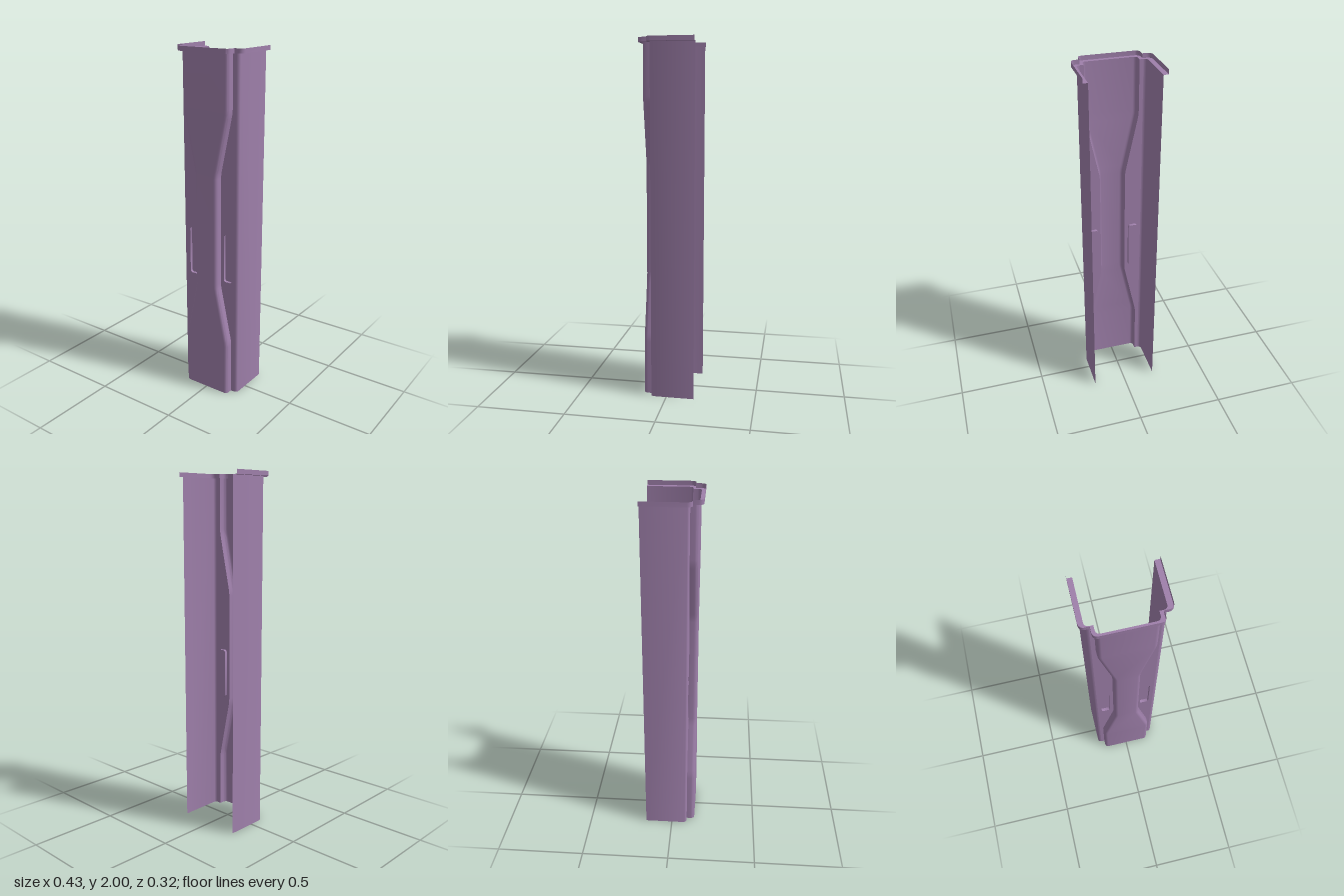
import * as THREE from 'three';
import { toCreasedNormals } from 'three/addons/utils/BufferGeometryUtils.js';

const material = new THREE.MeshStandardMaterial({ color: 0x9f80ab, side: THREE.DoubleSide });
const BACK = -0.158, LEDGE = 0.09, FRONT = 0.136, NECK = 1.975, TOP = 2;

// Surface through rows of [x, y, z] points, all rows equally long
function loft(rows) {
  const n = rows[0].length, index = [];
  for (let r = 0; r < rows.length - 1; r++) {
    for (let i = 0; i < n - 1; i++) {
      const a = r * n + i, b = a + 1, c = a + n, d = c + 1;
      index.push(a, b, d, a, d, c);
    }
  }
  const geo = new THREE.BufferGeometry();
  geo.setAttribute('position', new THREE.Float32BufferAttribute(rows.flat(2), 3));
  geo.setIndex(index);
  return toCreasedNormals(geo, 0.65);
}

function part(name, geo, parent) {
  const mesh = new THREE.Mesh(geo, material);
  mesh.name = name;
  parent.add(mesh);
  return mesh;
}

// Half of a section given from the outside in, completed by mirroring in x
const mirrored = half => [...half.map(([x, z]) => [-x, z]), ...half.slice().reverse()];
const atHeight = (section, y) => section.map(([x, z]) => [x, y, z]);

// Quarter-round corner from (x0, z0) to (x1, z1), leaving along z
function corner(x0, z0, x1, z1, steps = 4) {
  return Array.from({ length: steps + 1 }, (_, i) => {
    const t = (i / steps) * Math.PI / 2;
    return [x1 + (x0 - x1) * Math.cos(t), z0 + (z1 - z0) * Math.sin(t)];
  });
}

// Half-width of the raised rib over the height: wide ends, narrow waist
const lower = [[0, 0.147], [0.31, 0.147], [0.335, 0.145], [0.36, 0.14],
  [0.64, 0.08], [0.665, 0.075], [0.69, 0.073]];
const widths = [...lower, [1.31, 0.073], [1.335, 0.075], [1.36, 0.08],
  [1.64, 0.14], [1.665, 0.145], [1.69, 0.147], [NECK, 0.147]];

const ribHalf = w => [[w, LEDGE], ...corner(w, 0.115, w - 0.02, FRONT)];
const wallHalf = [[0.188, BACK], ...corner(0.188, 0.07, 0.168, LEDGE)];

// Rounded upright slot outline
function slotPoints(x0, x1, y0, y1, r) {
  const s = new THREE.Shape();
  s.absarc(x1 - r, y0 + r, r, -Math.PI / 2, 0);
  s.absarc(x1 - r, y1 - r, r, 0, Math.PI / 2);
  s.absarc(x0 + r, y1 - r, r, Math.PI / 2, Math.PI);
  s.absarc(x0 + r, y0 + r, r, Math.PI, Math.PI * 1.5);
  return s.getPoints(4);
}

function createSide() {
  const side = new THREE.Group();

  // Side wall with its rounded front corner
  part('sideWall', loft([0, NECK].map(y => atHeight(wallHalf, y))), side);

  // Ledge beside the rib, with the slot cut out
  const slot = slotPoints(0.093, 0.145, 0.702, 0.986, 0.013);
  const outline = [[0.168, 0], [0.168, NECK], ...widths.map(([y, w]) => [w, y]).reverse()];
  const shape = new THREE.Shape(outline.map(([x, y]) => new THREE.Vector2(x, y)));
  shape.holes.push(new THREE.Path(slot));
  part('ledge', new THREE.ShapeGeometry(shape).translate(0, 0, LEDGE), side);

  // Shallow pocket pressed back through the ledge
  const depth = 0.073, ring = [...slot, slot[0]];
  part('pocketWall', loft([LEDGE, depth].map(z => ring.map(p => [p.x, p.y, z]))), side);
  part('pocketFloor', new THREE.ShapeGeometry(new THREE.Shape(slot)).translate(0, 0, depth), side);
  return side;
}

export function createModel() {
  const model = new THREE.Group();
  model.name = 'channelPost';

  // Raised front rib
  part('frontRib', loft(widths.map(([y, w]) => atHeight(mirrored(ribHalf(w)), y))), model);

  // Both sides
  const left = createSide();
  left.name = 'leftSide';
  const right = createSide();
  right.name = 'rightSide';
  right.scale.x = -1;
  model.add(left, right);

  // Stepped collar at the top: out along a narrow shelf, then up
  const inner = mirrored([...wallHalf, ...ribHalf(0.147)]);
  const outer = mirrored([[0.215, BACK], ...corner(0.215, 0.077, 0.19, 0.104),
    [0.165, 0.104], ...corner(0.165, 0.133, 0.142, 0.158)]);
  part('topCollar', loft([atHeight(inner, NECK), atHeight(outer, NECK), atHeight(outer, TOP)]), model);

  return model;
}
